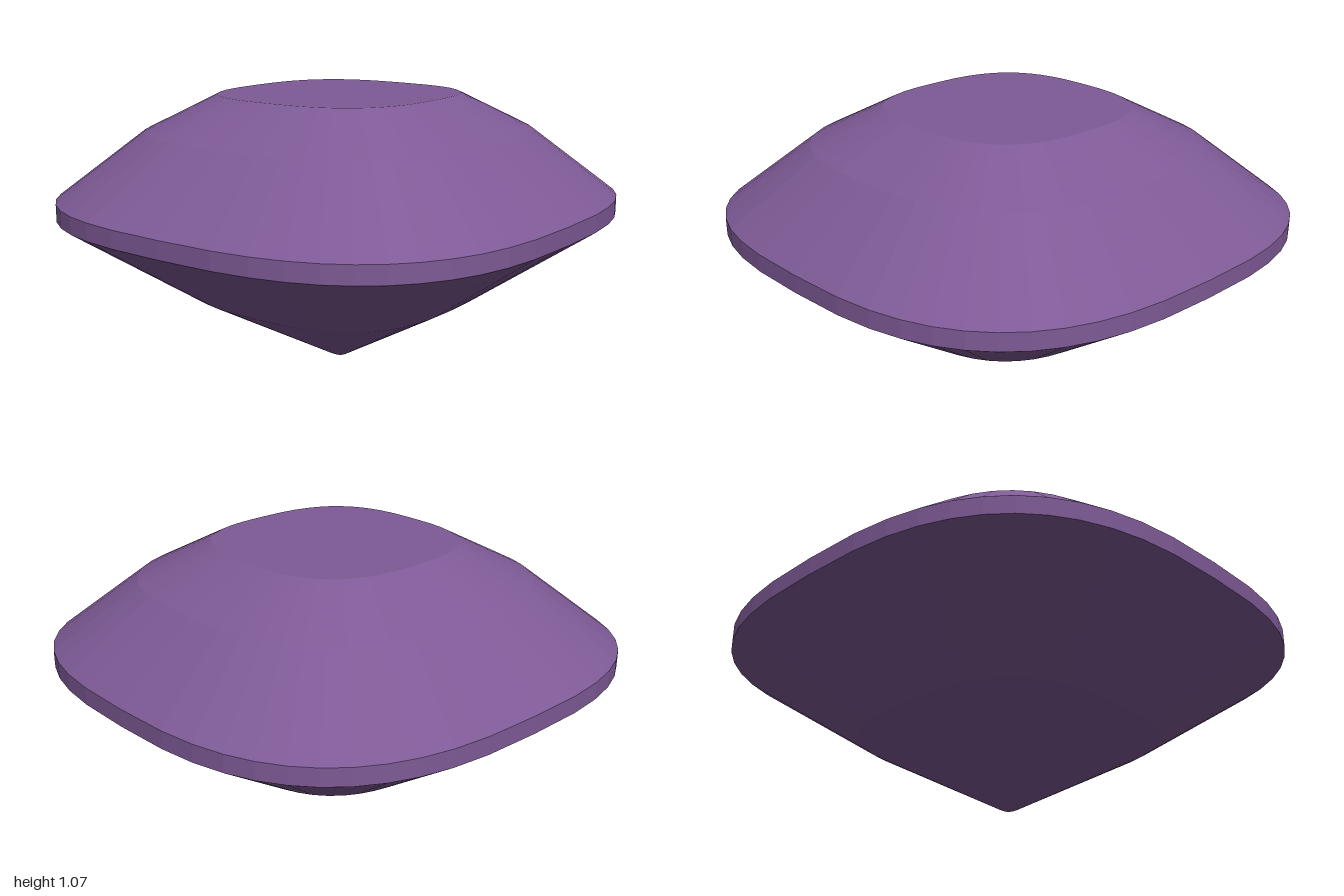
import * as THREE from 'three';

const SIDES = 48;
const POWER = 2 / 2.8; // exponent of the rounded-square outline

// Signed power used by the superellipse
const soften = (v) => Math.sign(v) * Math.abs(v) ** POWER;

// Revolve a [radius, height] profile (listed bottom to top), then push each
// ring from a circle to a rounded square and give every facet its own normal
function cushionTier(name, profile, material) {
  const points = profile.map(([r, y]) => new THREE.Vector2(r, y));
  const geometry = new THREE.LatheGeometry(points, SIDES).toNonIndexed();
  const pos = geometry.attributes.position;
  for (let i = 0; i < pos.count; i++) {
    const x = pos.getX(i), z = pos.getZ(i);
    const r = Math.hypot(x, z);
    if (r < 1e-6) continue;
    pos.setX(i, r * soften(x / r));
    pos.setZ(i, r * soften(z / r));
  }
  geometry.computeVertexNormals();
  const mesh = new THREE.Mesh(geometry, material);
  mesh.name = name;
  return mesh;
}

export function createModel() {
  const gem = new THREE.Group();
  gem.name = 'cushionCutGem';
  const violet = new THREE.MeshStandardMaterial({ color: 0x7e5a96 });
  violet.name = 'violet';

  const tiers = [
    ['culet', [[0, 0], [0.035, 0]]],
    ['lowerPavilion', [[0.035, 0], [0.53, 0.28]]],
    ['upperPavilion', [[0.53, 0.28], [1, 0.607]]],
    ['girdle', [[1, 0.607], [1, 0.675]]],
    ['lowerCrown', [[1, 0.675], [0.69, 0.93]]],
    ['upperCrown', [[0.69, 0.93], [0.43, 1.07]]],
    ['table', [[0.43, 1.07], [0, 1.07]]],
  ];
  for (const [name, profile] of tiers) gem.add(cushionTier(name, profile, violet));

  // The stone sits very slightly turned
  gem.rotation.y = -0.025;
  return gem;
}
